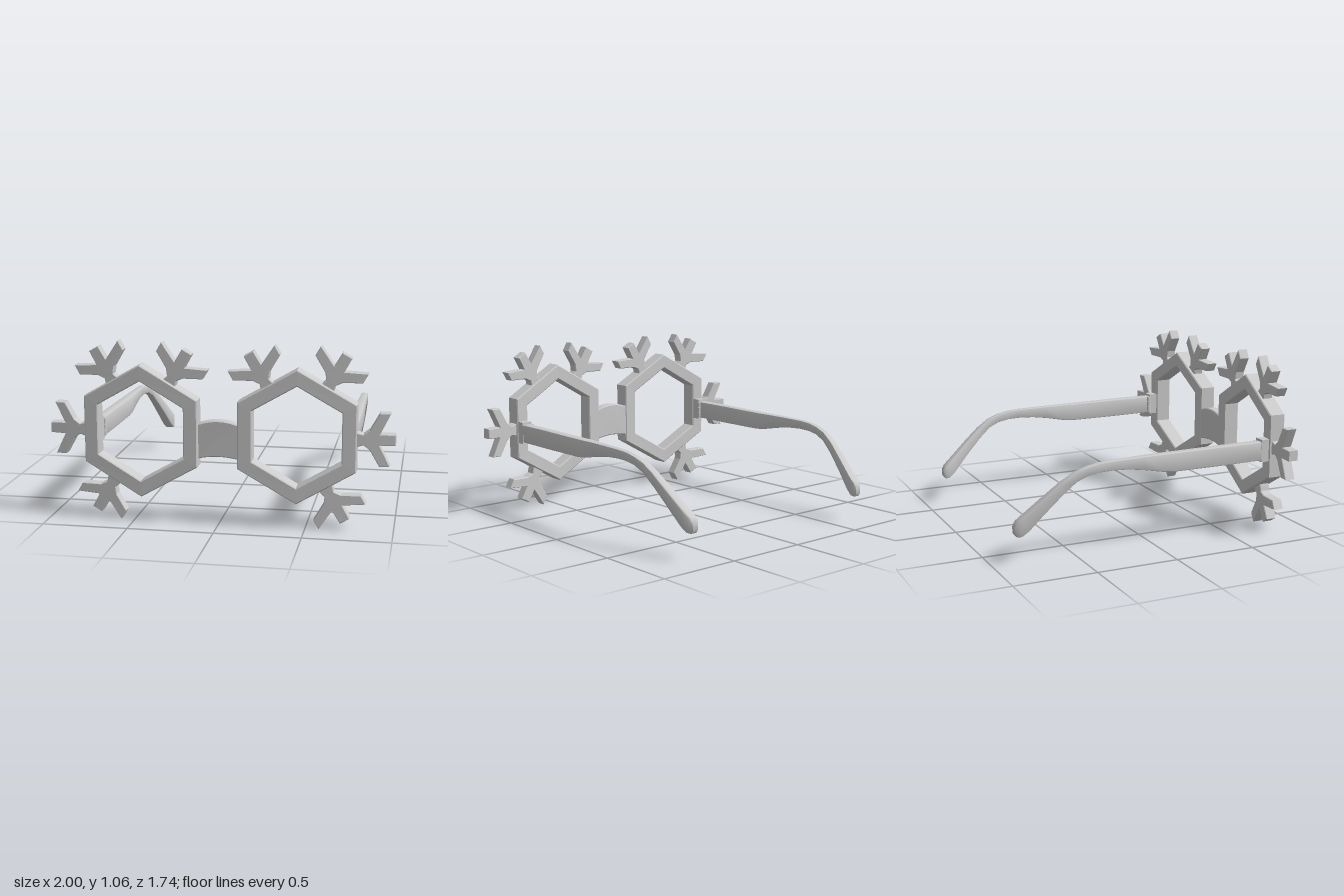
import * as THREE from 'three';
import { toCreasedNormals } from 'three/addons/utils/BufferGeometryUtils.js';

const CX = 0.45, CY = 0.532; // lens centre
const BRANCH_CY = 0.524;     // centre the branches radiate from
const material = new THREE.MeshStandardMaterial({ color: 0xcccccc });

function add(parent, name, geometry) {
  const mesh = new THREE.Mesh(geometry, material);
  mesh.name = name;
  parent.add(mesh);
  return mesh;
}

// Sweep the front of the glasses back towards the temples
function bend(geometry) {
  const p = geometry.attributes.position;
  for (let i = 0; i < p.count; i++) p.setZ(i, p.getZ(i) - 0.055 * p.getX(i) ** 2);
  geometry.computeVertexNormals();
  return geometry;
}

// Extrude a flat outline between two z values with a small inset bevel
function plate(shape, back, front, bevel) {
  const geometry = new THREE.ExtrudeGeometry(shape, {
    depth: front - back - 2 * bevel, curveSegments: 16,
    bevelSize: bevel, bevelThickness: bevel, bevelOffset: -bevel, bevelSegments: 1,
  });
  geometry.translate(0, 0, back + bevel);
  return bend(geometry);
}

// Pointy-topped hexagon, always counter-clockwise
function hexagon(side, radius) {
  const points = [];
  for (let i = 0; i < 6; i++) {
    const a = Math.PI / 6 + i * Math.PI / 3;
    points.push(new THREE.Vector2(side * CX + radius * Math.cos(a), CY + radius * Math.sin(a)));
  }
  return points;
}

// Snowflake branch: half outline as (distance from lens centre, half width)
const HALF_BRANCH = [
  [0.32, 0.044], [0.345, 0.038], [0.37, 0.03], [0.405, 0.056],
  [0.46, 0.153], [0.521, 0.153], [0.462, 0.033], [0.55, 0.031],
];

function branchShape(side, angle) {
  const outline = [
    ...HALF_BRANCH.map(([u, v]) => [u, -v]),
    ...HALF_BRANCH.slice().reverse(),
  ];
  const c = Math.cos(angle), s = Math.sin(angle);
  return new THREE.Shape(outline.map(([u, v]) =>
    new THREE.Vector2(side * (CX + u * c - v * s), BRANCH_CY + u * s + v * c)));
}

// Temple stations: z, top y, bottom y, outer x, inner x
const TEMPLE = [
  [0.75, 0.565, 0.45, 0.777, 0.715],
  [0.4, 0.564, 0.447, 0.777, 0.714],
  [0.1, 0.56, 0.447, 0.776, 0.713],
  [0.03, 0.56, 0.453, 0.775, 0.714],
  [-0.1, 0.559, 0.479, 0.773, 0.72],
  [-0.2, 0.557, 0.494, 0.772, 0.725],
  [-0.3, 0.555, 0.499, 0.771, 0.728],
  [-0.38, 0.549, 0.496, 0.77, 0.728],
  [-0.45, 0.535, 0.483, 0.767, 0.725],
  [-0.52, 0.51, 0.452, 0.762, 0.718],
  [-0.6, 0.458, 0.384, 0.752, 0.704],
  [-0.7, 0.374, 0.284, 0.735, 0.679],
  [-0.79, 0.296, 0.187, 0.716, 0.656],
  [-0.83, 0.262, 0.156, 0.707, 0.646],
  [-0.855, 0.242, 0.154, 0.7, 0.646],
  [-0.87, 0.218, 0.172, 0.69, 0.652],
];

// Loft of rounded rectangles along the stations
function templeGeometry(side) {
  const positions = [], index = [], N = 12;
  for (const [z, top, bottom, outer, inner] of TEMPLE) {
    const hx = (outer - inner) / 2, hy = (top - bottom) / 2;
    const r = Math.min(hx, hy) * 0.3;
    for (let j = 0; j < N; j++) {
      const corner = Math.floor(j / 3);
      const a = (corner + (j % 3) / 2) * Math.PI / 2;
      const sx = corner === 0 || corner === 3 ? 1 : -1, sy = corner < 2 ? 1 : -1;
      positions.push(
        side * (outer + inner) / 2 + sx * (hx - r) + r * Math.cos(a),
        (top + bottom) / 2 + sy * (hy - r) + r * Math.sin(a), z);
    }
  }
  const last = (TEMPLE.length - 1) * N;
  for (let i = 0; i < last; i += N) {
    for (let j = 0; j < N; j++) {
      const k = (j + 1) % N;
      index.push(i + j, i + N + j, i + k, i + k, i + N + j, i + N + k);
    }
  }
  for (let j = 1; j < N - 1; j++) {
    index.push(0, j, j + 1, last, last + j + 1, last + j);
  }
  const geometry = new THREE.BufferGeometry();
  geometry.setAttribute('position', new THREE.Float32BufferAttribute(positions, 3));
  geometry.setIndex(index);
  return toCreasedNormals(geometry, 0.7);
}

export function createModel() {
  const group = new THREE.Group();
  group.name = 'snowflakeGlasses';

  for (const side of [1, -1]) {
    const half = new THREE.Group();
    half.name = side > 0 ? 'leftHalf' : 'rightHalf';
    group.add(half);

    // Hexagonal rim
    const rim = new THREE.Shape(hexagon(side, 0.387));
    rim.holes.push(new THREE.Path(hexagon(side, 0.292)));
    add(half, 'lensRim', plate(rim, 0.768, 0.872, 0.006));

    // Branches on every rim edge that is clear of the bridge
    for (const degrees of [120, 60, 0, -60]) {
      const shape = branchShape(side, THREE.MathUtils.degToRad(degrees));
      add(half, 'snowflakeBranch', plate(shape, 0.785, 0.851, 0.004));
    }

    // Temple arm with its hinge
    add(half, 'temple', templeGeometry(side));
    add(half, 'hingeBlock', new THREE.BoxGeometry(0.068, 0.138, 0.07))
      .position.set(side * 0.745, 0.51, 0.72);
    for (const y of [0.474, 0.51, 0.546]) {
      add(half, 'hingeBarrel', toCreasedNormals(new THREE.CylinderGeometry(0.012, 0.012, 0.033, 12), 0.7))
        .position.set(side * 0.712, y, 0.68);
    }
  }

  // Arched bridge
  const bridge = new THREE.Shape();
  bridge.moveTo(-0.13, 0.379);
  bridge.quadraticCurveTo(0, 0.414, 0.13, 0.379);
  bridge.lineTo(0.13, 0.58);
  bridge.quadraticCurveTo(0, 0.634, -0.13, 0.58);
  bridge.closePath();
  add(group, 'bridge', toCreasedNormals(plate(bridge, 0.773, 0.838, 0.006), 0.5));

  return group;
}
